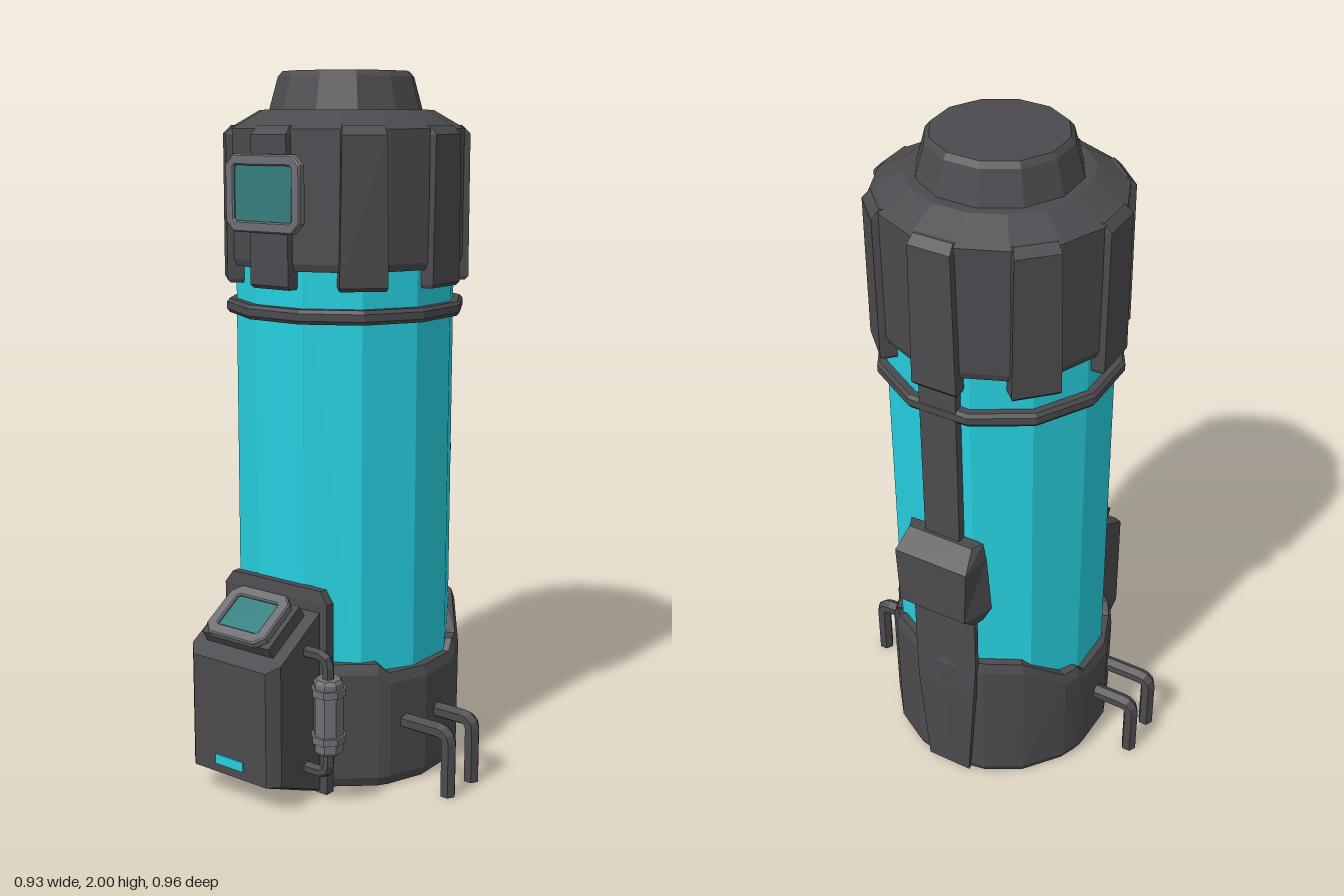
import * as THREE from 'three';

const mat = (name, color) => Object.assign(new THREE.MeshStandardMaterial({ color }), { name });

// faceted normals
function flat(geo) {
  const g = geo.index ? geo.toNonIndexed() : geo;
  g.computeVertexNormals();
  return g;
}

// skin between rings of [x, y, z], lowest first, each counterclockwise from above; ends closed
function loft(rings) {
  const pos = [], n = rings[0].length;
  const tri = (a, b, c) => pos.push(...a, ...b, ...c);
  for (let s = 0; s < rings.length - 1; s++) {
    const a = rings[s], b = rings[s + 1];
    for (let i = 0; i < n; i++) {
      const j = (i + 1) % n;
      tri(a[i], a[j], b[j]);
      tri(a[i], b[j], b[i]);
    }
  }
  const lo = rings[0], hi = rings[rings.length - 1];
  for (let i = 1; i < n - 1; i++) {
    tri(lo[0], lo[i + 1], lo[i]);
    tri(hi[0], hi[i], hi[i + 1]);
  }
  const g = new THREE.BufferGeometry();
  g.setAttribute('position', new THREE.Float32BufferAttribute(pos, 3));
  g.computeVertexNormals();
  return g;
}

// trapezoid ring: x0..x1, half width w0 at x0 and w1 at x1
const trap = (y, x0, x1, w0, w1 = w0) => [[x0, y, w0], [x1, y, w1], [x1, y, -w1], [x0, y, -w0]];

export function createModel() {
  const dark = mat('dark metal', 0x4b4a4e);
  const grey = mat('grey metal', 0x6e6f73);
  const teal = mat('teal glass', 0x26cfdf);
  const screenMat = mat('screen teal', 0x357f7f);

  const root = new THREE.Group();
  root.name = 'tank';
  const add = (name, geo, m, parent = root) => {
    const mesh = new THREE.Mesh(geo, m);
    mesh.name = name;
    parent.add(mesh);
    return mesh;
  };
  const CX = 0.066; // axis of the tank

  // faceted lathe with a face centred on each axis
  const lathe = (pts, n) => flat(new THREE.LatheGeometry(
    pts.map(p => new THREE.Vector2(...p)), n, Math.PI / n));

  const body = new THREE.Group();
  body.name = 'body';
  body.position.x = CX;
  root.add(body);

  // glass cylinder and retaining ring
  add('glass', lathe([[0, 0.2], [0.315, 0.2], [0.315, 1.55], [0, 1.55]], 12), teal, body);
  add('retainingRing', lathe([[0.3, 1.33], [0.335, 1.33], [0.343, 1.34], [0.343, 1.36], [0.335, 1.37], [0.3, 1.37]], 12), dark, body);

  // cap with stepped top
  add('cap', lathe([[0.29, 1.47], [0.325, 1.47], [0.332, 1.49], [0.332, 1.845], [0.245, 1.895], [0, 1.895]], 16), dark, body);
  add('capTop', lathe([[0.222, 1.88], [0.193, 1.985], [0.18, 2], [0, 2]], 12), dark, body);

  // ribs around the cap
  const rib = loft([
    trap(1.42, 0.28, 0.335, 0.062), trap(1.43, 0.28, 0.344, 0.066),
    trap(1.83, 0.28, 0.344, 0.066, 0.06), trap(1.853, 0.28, 0.322, 0.06, 0.056)]);
  for (let i = 0; i < 8; i++) add('capRib', rib, dark, body).rotation.y = i * Math.PI / 4;

  // base cup with a stepped rim: [degrees from +x, rim height], mirrored front to back
  const half = [[0, 0.47], [20, 0.47], [40, 0.465], [63, 0.37], [72, 0.37], [77, 0.34], [100, 0.34],
    [121, 0.34], [127, 0.37], [153, 0.37], [180, 0.37]];
  const rim = [...half, ...half.slice(1, -1).reverse().map(([a, h]) => [360 - a, h])];
  const cup = (r, yOf) => rim.map(([a, h]) => {
    const t = a * Math.PI / 180;
    return [r * Math.cos(t), yOf(h), -r * Math.sin(t)];
  });
  add('base', loft([cup(0.326, () => 0), cup(0.34, () => 0.03), cup(0.342, h => h - 0.03),
    cup(0.332, h => h), cup(0.3, h => h)]), dark, body);

  // spine on the left side
  add('upperSpine', loft([trap(0.88, 0.34, 0.396, 0.055), trap(1.45, 0.34, 0.396, 0.055)]), dark);
  add('spineBox', loft([trap(0.64, 0.37, 0.4, 0.11, 0.1), trap(0.7, 0.37, 0.462, 0.14, 0.105),
    trap(0.88, 0.37, 0.462, 0.125, 0.113), trap(0.93, 0.37, 0.405, 0.115, 0.1)]), dark);
  add('lowerSpine', loft([trap(0.01, 0.36, 0.403, 0.07), trap(0.35, 0.36, 0.406, 0.1, 0.095),
    trap(0.46, 0.383, 0.4, 0.1), trap(0.66, 0.383, 0.4, 0.1)]), dark);

  // faceted pipe with closed ends
  const pipe = (name, pts, r) => {
    const curve = new THREE.CurvePath();
    const v = pts.map(p => new THREE.Vector3(...p));
    const bend = 0.03;
    let from = v[0];
    for (let i = 1; i < v.length - 1; i++) {
      const a = v[i].clone().add(v[i - 1].clone().sub(v[i]).setLength(bend));
      const b = v[i].clone().add(v[i + 1].clone().sub(v[i]).setLength(bend));
      curve.add(new THREE.LineCurve3(from, a));
      curve.add(new THREE.QuadraticBezierCurve3(a, v[i], b));
      from = b;
    }
    curve.add(new THREE.LineCurve3(from, v[v.length - 1]));
    add(name, flat(new THREE.TubeGeometry(curve, 24, r, 6)), dark);
  };

  // bent pipes front and back
  for (const side of [1, -1]) for (const x of [-0.056, 0.067]) {
    pipe('footPipe', [[x, 0.187, side * 0.28], [x, 0.187, side * 0.455], [x, 0, side * 0.455]], 0.023);
    const end = add('footPipeEnd', new THREE.CircleGeometry(0.022, 6), dark);
    end.rotation.x = Math.PI / 2;
    end.position.set(x, 0.001, side * 0.455);
  }

  // control console on the right side
  const ring = (xl, yOf) => [[-0.25, 0.16], [-0.25, -0.16], [xl + 0.03, -0.16], [xl, -0.13], [xl, 0.13], [xl + 0.03, 0.16]]
    .map(([x, z]) => [x, yOf(x), z]);
  add('console', loft([ring(-0.285, () => 0.005), ring(-0.465, () => 0.08),
    ring(-0.465, x => 0.41 + (x + 0.465) * 0.62)]), dark);
  add('consoleBackPlate', loft([trap(0, -0.265, -0.235, 0.185), trap(0.56, -0.265, -0.235, 0.185),
    trap(0.595, -0.26, -0.235, 0.16)]), dark);
  add('consoleLight', new THREE.BoxGeometry(0.008, 0.028, 0.1), teal).position.set(-0.466, 0.12, 0);

  // framed screen facing local +z
  const octagon = (Type, w, h, c) => new Type([[w - c, h], [w, h - c], [w, c - h], [w - c, -h],
    [c - w, -h], [-w, c - h], [-w, h - c], [c - w, h]].reverse().map(p => new THREE.Vector2(...p)));
  const display = (name, w, h, border) => {
    const g = new THREE.Group();
    g.name = name;
    const frame = octagon(THREE.Shape, w / 2, h / 2, 0.025);
    frame.holes.push(octagon(THREE.Path, w / 2 - border, h / 2 - border, 0.008));
    add('screenFrame', new THREE.ExtrudeGeometry(frame, {
      depth: 0.018, bevelEnabled: true, bevelSize: 0.004, bevelThickness: 0.004, bevelSegments: 1 }), grey, g);
    add('screen', new THREE.BoxGeometry(w - border * 2 + 0.01, h - border * 2 + 0.01, 0.008), screenMat, g)
      .position.z = 0.01;
    root.add(g);
    return g;
  };
  const consoleScreen = display('consoleDisplay', 0.205, 0.17, 0.027);
  consoleScreen.position.set(-0.372, 0.515, 0);
  consoleScreen.rotation.set(0, -Math.PI / 2, -1.0, 'ZYX');
  add('screenMount', new THREE.BoxGeometry(0.24, 0.16, 0.05), dark, consoleScreen).position.z = -0.028;
  const capScreen = display('capDisplay', 0.25, 0.2, 0.022);
  capScreen.position.set(-0.268, 1.675, -0.015);
  capScreen.rotation.y = -Math.PI / 2;

  // canister with its feed pipe in front of the console
  const px = -0.322, pz = 0.235;
  pipe('canisterPipe', [[px, 0.44, 0.15], [px, 0.44, pz], [px, 0.1, pz], [px, 0.1, 0.15]], 0.017);
  const canister = flat(new THREE.LatheGeometry([[0, 0.165], [0.035, 0.165], [0.042, 0.175], [0.042, 0.2], [0.05, 0.2],
    [0.05, 0.22], [0.042, 0.22], [0.042, 0.335], [0.05, 0.335], [0.05, 0.355], [0.042, 0.355],
    [0.042, 0.37], [0.035, 0.38], [0, 0.38]].map(p => new THREE.Vector2(...p)), 8, Math.PI / 8));
  add('canister', canister, grey).position.set(px, 0, pz);

  return root;
}
